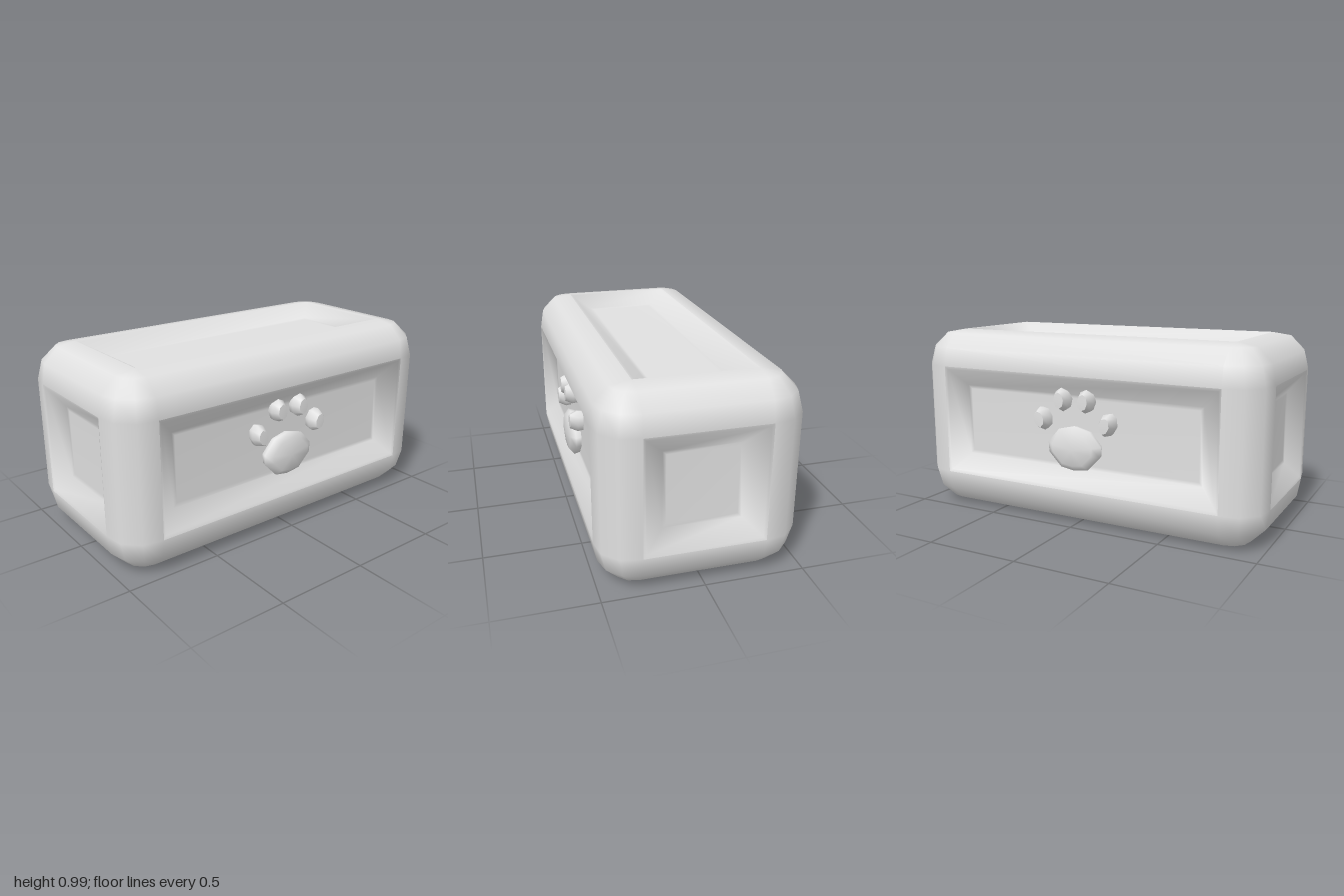
import * as THREE from 'three';

const CORE = { x: 0.803, y: 0.3, z: 0.3 }; // half sizes of the flat faces
const R = 0.195;                           // edge rounding
const BULGE = 1.05;                        // fullness of the rounding between faces
const DEPTH = 0.075;                       // panel recess

function geometry(points, index) {
  const g = new THREE.BufferGeometry();
  g.setAttribute('position', new THREE.Float32BufferAttribute(points.flat(), 3));
  g.setIndex(index);
  g.computeVertexNormals();
  return g;
}

// Joins equal-length loops (counterclockwise seen from +z) and caps the last one
function loft(loops, capHeight = null) {
  const n = loops[0].length, points = loops.flat(), index = [];
  for (let l = 0; l < loops.length - 1; l++) {
    for (let i = 0; i < n; i++) {
      const a = l * n + i, b = l * n + (i + 1) % n;
      index.push(a, b, b + n, a, b + n, a + n);
    }
  }
  if (capHeight !== null) {
    const s = points.length - n, last = loops[loops.length - 1];
    const mid = (k) => last.reduce((t, p) => t + p[k], 0) / n;
    points.push([mid(0), mid(1), capHeight]);
    for (let i = 0; i < n; i++) index.push(s + i, s + (i + 1) % n, points.length - 1);
  }
  return geometry(points, index);
}

// Rounded box shell with its six flat faces left open
function shellGeometry() {
  const points = [], normals = [], index = [];
  for (let row = 0; row < 8; row++) {
    const h = Math.floor(row / 4), latStep = h * 3 + row % 4, lat = latStep * Math.PI / 6;
    for (let col = 0; col < 16; col++) {
      const q = Math.floor(col / 4), lonStep = q * 3 + col % 4, lon = lonStep * Math.PI / 6;
      const n = [Math.sin(lat) * Math.sin(lon), Math.cos(lat), Math.sin(lat) * Math.cos(lon)];
      const onPole = latStep % 6 === 0;
      const onFace = onPole || (latStep === 3 && lonStep % 3 === 0);
      const r = onFace ? R : R * BULGE;
      normals.push(n);
      points.push([
        (q < 2 ? 1 : -1) * CORE.x + r * n[0],
        (h === 0 ? 1 : -1) * CORE.y + r * n[1],
        (q === 0 || q === 3 ? 1 : -1) * CORE.z + r * n[2],
      ]);
      if (row === 7 || (row === 3 && col % 4 === 3)) continue;
      const a = row * 16 + col, d = row * 16 + (col + 1) % 16;
      index.push(a, a + 16, d + 16, a, d + 16, d);
    }
  }
  const g = geometry(points, index);
  g.setAttribute('normal', new THREE.Float32BufferAttribute(normals.flat(), 3));
  return g;
}

const rectangle = (w, h, z) => [[-w, -h, z], [w, -h, z], [w, h, z], [-w, h, z]];

function ellipse(cx, cy, rx, ry, tilt, z, sides = 8) {
  return Array.from({ length: sides }, (_, i) => {
    const t = i / sides * Math.PI * 2, u = rx * Math.cos(t), v = ry * Math.sin(t);
    return [cx + u * Math.cos(tilt) - v * Math.sin(tilt), cy + u * Math.sin(tilt) + v * Math.cos(tilt), z];
  });
}

export function createModel() {
  const grey = new THREE.MeshStandardMaterial({ color: 0xe0e0e0 });
  grey.name = 'lightGrey';
  const model = new THREE.Group();
  model.name = 'box';
  const add = (parent, name, g) => {
    const mesh = new THREE.Mesh(g, grey);
    mesh.name = name;
    parent.add(mesh);
  };

  const body = new THREE.Group();
  body.name = 'body';
  body.position.y = CORE.y + R;
  model.add(body);
  add(body, 'roundedFrame', shellGeometry());

  // Sunken panel: soft lip, sloping wall and flat floor, facing +z before it is turned
  const panel = (name, w, h, offset, rx, ry) => {
    const group = new THREE.Group();
    group.name = name;
    group.rotation.set(rx, ry, 0);
    const z = offset + R, floor = z - DEPTH;
    const ring = (inset, height) => rectangle(w - inset, h - inset, height);
    add(group, 'recess', loft([
      ring(0, z), ring(0.015, z - 0.006), ring(0.105, floor + 0.004), ring(0.125, floor),
    ], floor));
    body.add(group);
    return group;
  };
  const H = Math.PI / 2;
  const front = panel('frontPanel', CORE.x, CORE.y, CORE.z, 0, 0);
  const back = panel('backPanel', CORE.x, CORE.y, CORE.z, 0, Math.PI);
  panel('leftPanel', CORE.z, CORE.y, CORE.x, 0, H);
  panel('rightPanel', CORE.z, CORE.y, CORE.x, 0, -H);
  panel('topPanel', CORE.x, CORE.z, CORE.y, -H, 0);
  panel('bottomPanel', CORE.x, CORE.z, CORE.y, H, 0);

  // Raised paw print on the front and back panels
  const floor = CORE.z + R - DEPTH - 0.004;
  const half = [[0, -0.2], [0.08, -0.188], [0.152, -0.115], [0.157, -0.06], [0.09, 0.015], [0, 0.037]];
  const outline = [...half, ...half.slice(1, -1).reverse().map(([x, y]) => [-x, y])];
  const padLoop = (s, z) => outline.map(([x, y]) => [x * s, -0.08 + (y + 0.08) * s, z]);
  for (const face of [front, back]) {
    const paw = new THREE.Group();
    paw.name = 'pawPrint';
    face.add(paw);
    add(paw, 'mainPad', loft([padLoop(0.93, floor), padLoop(1, floor + 0.035), padLoop(0.75, floor + 0.062)], floor + 0.07));
    for (const side of [-1, 1]) {
      for (const [x, y, tilt] of [[0.07, 0.17, -0.08], [0.193, 0.06, -0.25]]) {
        const loop = (rx, ry, z) => ellipse(side * x, y, rx, ry, side * tilt, z);
        const rim = loop(0.029, 0.042, floor + 0.072);
        add(paw, 'toe', loft([loop(0.044, 0.058, floor), loop(0.048, 0.062, floor + 0.033), rim]));
        add(paw, 'toeTip', loft([rim], floor + 0.074));
      }
    }
  }
  return model;
}
